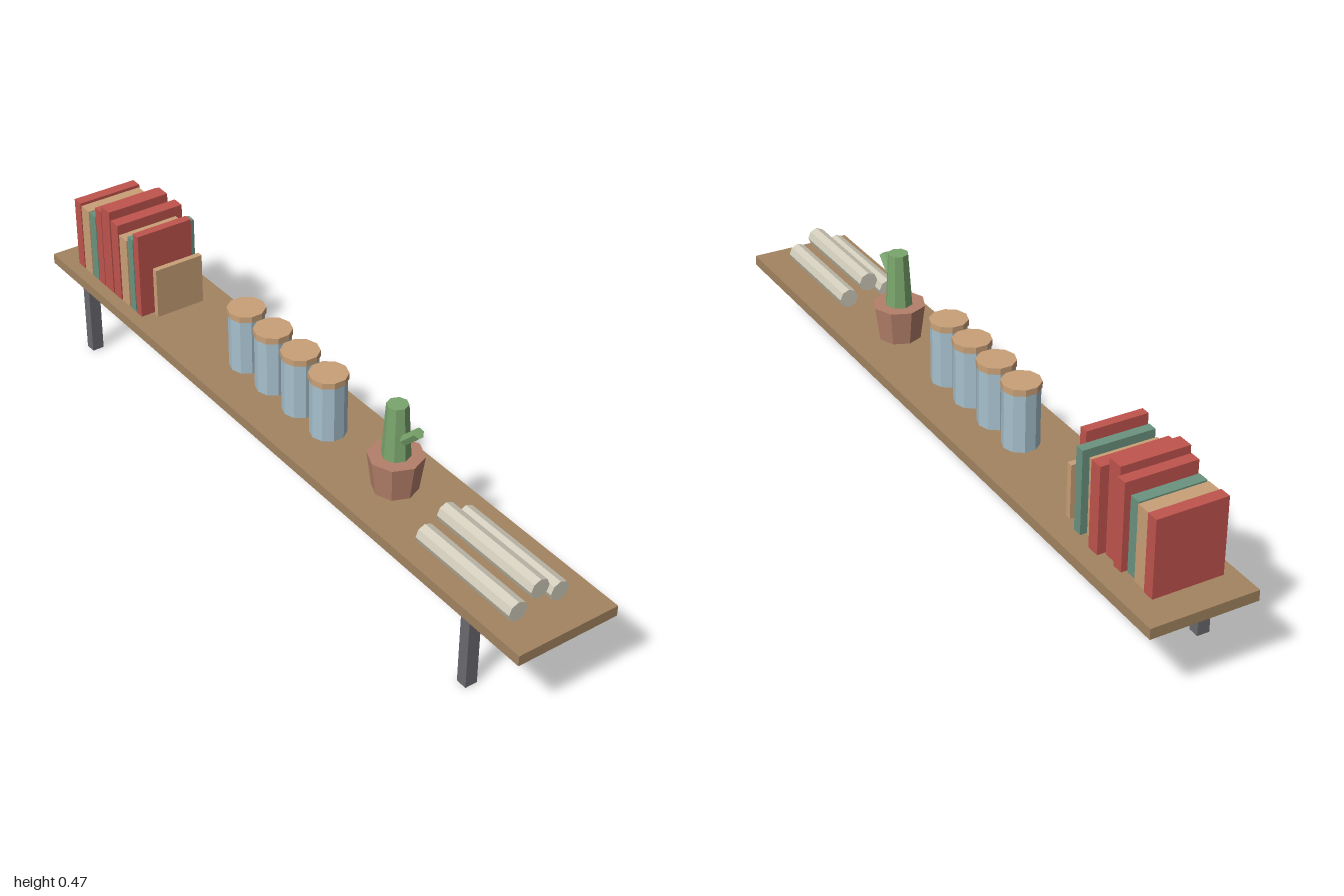
import * as THREE from 'three';

const mat = (name, color) => {
  const m = new THREE.MeshStandardMaterial({ color, flatShading: true });
  m.name = name;
  return m;
};

export function createModel() {
  const wood = mat('wood', 0xa38460);
  const metal = mat('bracket grey', 0x6b6a70);
  const red = mat('book red', 0xc0544e);
  const tan = mat('tan', 0xc9a077);
  const green = mat('book green', 0x6b937f);
  const glass = mat('jar blue', 0xa6c0cd);
  const clay = mat('clay', 0xb5806a);
  const cactusGreen = mat('cactus green', 0x7aa66d);
  const paper = mat('paper', 0xd0cbba);

  const model = new THREE.Group();
  model.name = 'wallShelf';
  const group = (name) => {
    const g = new THREE.Group();
    g.name = name;
    model.add(g);
    return g;
  };
  const add = (parent, name, geometry, material, x, y, z) => {
    const mesh = new THREE.Mesh(geometry, material);
    mesh.name = name;
    mesh.position.set(x, y, z);
    parent.add(mesh);
    return mesh;
  };
  // Box given by its limits on each axis
  const box = (parent, name, material, [x0, x1], [y0, y1], [z0, z1]) =>
    add(parent, name, new THREE.BoxGeometry(x1 - x0, y1 - y0, z1 - z0), material,
      (x0 + x1) / 2, (y0 + y1) / 2, (z0 + z1) / 2);
  const cylinder = (parent, name, material, rTop, rBottom, height, sides, x, y, z) =>
    add(parent, name, new THREE.CylinderGeometry(rTop, rBottom, height, sides), material, x, y, z);

  // Board
  const top = 0.218;
  box(model, 'board', wood, [-1, 1], [0.19, top], [-0.14, 0.14]);

  // L-shaped brackets
  for (const x of [-0.822, 0.822]) {
    const bracket = group('bracket');
    const span = [x - 0.015, x + 0.015];
    box(bracket, 'bracketPost', metal, span, [0, 0.19], [0.107, 0.14]);
    box(bracket, 'bracketArm', metal, span, [0.166, 0.19], [-0.093, 0.107]);
  }

  // Books: left, right, top, back, front, colour
  const books = group('books');
  [
    [-0.917, -0.886, 0.42, -0.08, 0.105, red],
    [-0.881, -0.842, 0.415, -0.075, 0.105, tan],
    [-0.837, -0.807, 0.415, -0.07, 0.105, green],
    [-0.802, -0.773, 0.447, -0.083, 0.106, red],
    [-0.77, -0.728, 0.466, -0.074, 0.106, red],
    [-0.722, -0.687, 0.445, -0.093, 0.106, red],
    [-0.682, -0.645, 0.42, -0.07, 0.105, tan],
    [-0.638, -0.613, 0.437, -0.084, 0.105, green],
    [-0.607, -0.583, 0.461, -0.056, 0.106, red],
    [-0.573, -0.557, 0.36, -0.07, 0.071, tan],
  ].forEach(([x0, x1, y, z0, z1, material]) =>
    box(books, 'book', material, [x0, x1], [top, y], [z0, z1]));

  // Four lidded jars
  for (let i = 0; i < 4; i++) {
    const jar = group('jar');
    const x = -0.238 + i * 0.118;
    cylinder(jar, 'jarBody', glass, 0.047, 0.047, 0.156, 10, x, top + 0.078, 0);
    cylinder(jar, 'jarLid', tan, 0.05, 0.05, 0.017, 10, x, 0.3815, 0);
  }

  // Potted cactus
  const plant = group('pottedCactus');
  cylinder(plant, 'pot', clay, 0.07, 0.057, 0.094, 8, 0.385, top + 0.047, 0);
  cylinder(plant, 'cactusStem', cactusGreen, 0.027, 0.036, 0.143, 8, 0.385, 0.3835, 0);
  cylinder(plant, 'cactusArm', cactusGreen, 0.014, 0.014, 0.07, 6, 0.44, 0.395, 0)
    .rotation.z = -0.8;

  // Paper rolls lying along the board
  const rolls = group('paperRolls');
  for (const [y, z] of [[0.245, 0.071], [0.28, 0.012], [0.245, -0.047]]) {
    cylinder(rolls, 'paperRoll', paper, 0.026, 0.026, 0.325, 8, 0.75, y, z)
      .rotation.z = Math.PI / 2;
  }

  return model;
}
